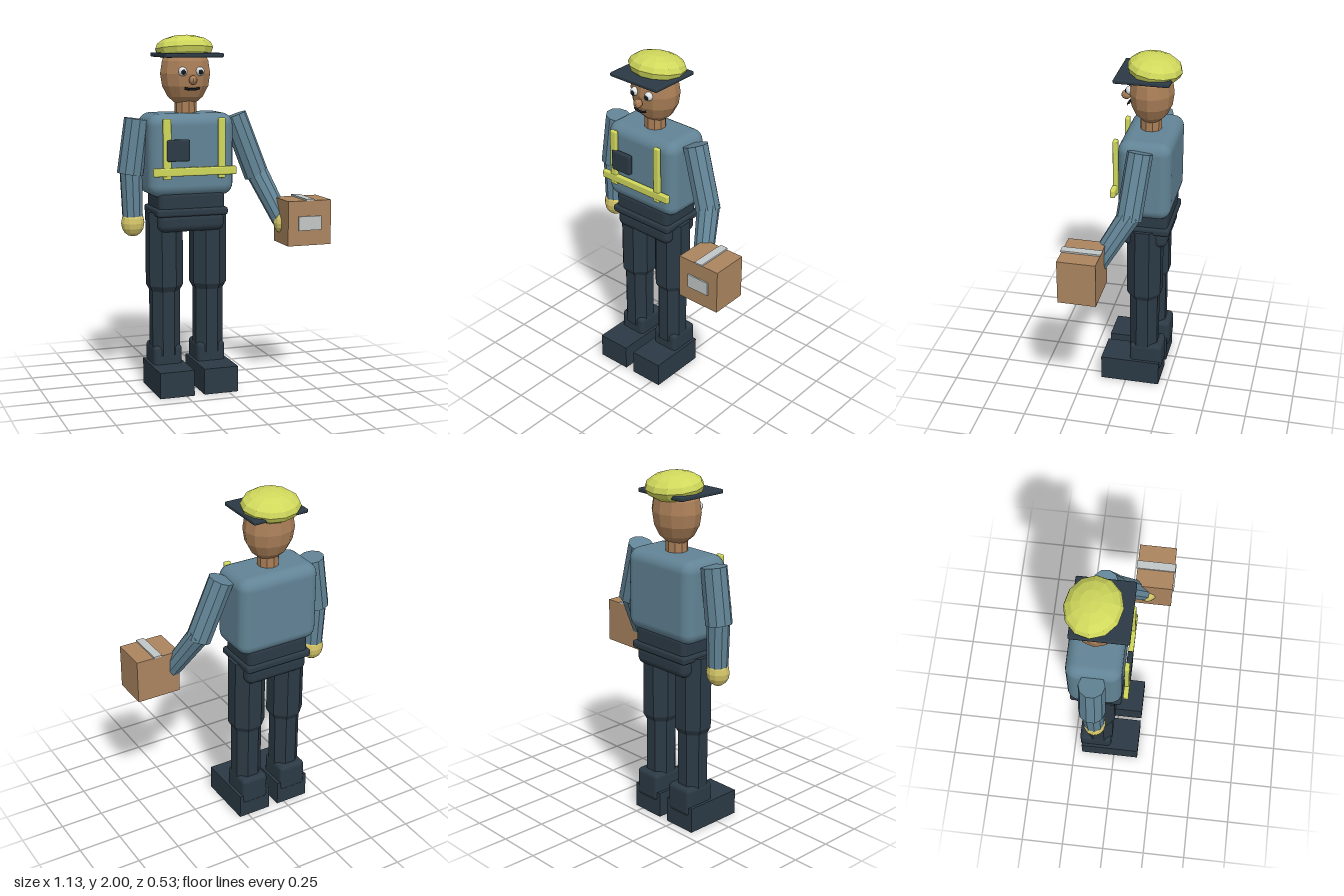
import * as THREE from 'three';
import { RoundedBoxGeometry } from 'three/addons/geometries/RoundedBoxGeometry.js';

const mat = (name, color, flat = false) => {
  const m = new THREE.MeshStandardMaterial({ color, flatShading: flat });
  m.name = name;
  return m;
};

export function createModel() {
  const root = new THREE.Group();
  root.name = 'courier';
  const shirt = mat('shirt blue', 0x628496);
  const dark = mat('dark navy', 0x2c3a45);
  const skin = mat('skin', 0xaa7f58);
  const lime = mat('lime', 0xd0d85c);
  const glove = mat('glove yellow', 0xd4c568);
  const card = mat('cardboard', 0xab855f);
  const tape = mat('tape grey', 0xc2c8c7);
  const white = mat('eye white', 0xe8ecee);
  const black = mat('black', 0x15191e);

  const add = (name, geo, material, x = 0, y = 0, z = 0) => {
    const mesh = new THREE.Mesh(geo, material);
    mesh.name = name;
    mesh.position.set(x, y, z);
    root.add(mesh);
    return mesh;
  };
  // Unshared vertices give crisp facets
  const facet = (geo) => {
    const g = geo.index ? geo.toNonIndexed() : geo;
    g.computeVertexNormals();
    return g;
  };
  // Box from its limits; r > 0 rounds the edges
  const box = (name, material, [x0, x1], [y0, y1], [z0, z1], r = 0) => {
    const s = [x1 - x0, y1 - y0, z1 - z0];
    const geo = r ? new RoundedBoxGeometry(...s, 3, r) : new THREE.BoxGeometry(...s);
    return add(name, geo, material, (x0 + x1) / 2, (y0 + y1) / 2, (z0 + z1) / 2);
  };
  const ball = (name, material, [x, y, z], [rx, ry, rz], w = 12, h = 8, flat = true) => {
    const geo = new THREE.SphereGeometry(1, w, h).scale(rx, ry, rz);
    return add(name, flat ? facet(geo) : geo, material, x, y, z);
  };
  // Faceted limb between two points
  const limb = (name, material, a, b, ra, rb) => {
    const p = new THREE.Vector3(...a), q = new THREE.Vector3(...b);
    const d = q.clone().sub(p);
    const geo = facet(new THREE.CylinderGeometry(rb, ra, d.length(), 10));
    const mesh = add(name, geo, material);
    mesh.position.copy(p).addScaledVector(d, 0.5);
    mesh.quaternion.setFromUnitVectors(new THREE.Vector3(0, 1, 0), d.normalize());
    return mesh;
  };
  // Eight-sided upright prism with flats facing the axes; profile holds [half width, y]
  const octagon = (name, x, z, profile) => {
    const pts = profile.map(([r, y]) => new THREE.Vector2(r / Math.cos(Math.PI / 8), y));
    return add(name, facet(new THREE.LatheGeometry(pts, 8, Math.PI / 8)), dark, x, 0, z);
  };

  const cx = -0.173;

  // Legs and boots
  for (const [side, x] of [['right', -0.304], ['left', -0.045]]) {
    octagon(side + 'Thigh', x, -0.095, [[0, 0.565], [0.08, 0.565], [0.098, 0.6], [0.098, 1.02], [0, 1.02]]);
    octagon(side + 'Shin', x, -0.095, [[0, 0.2], [0.081, 0.2], [0.081, 0.58], [0, 0.58]]);
    box(side + 'BootCuff', dark, [x - 0.083, x + 0.083], [0.09, 0.255], [-0.21, -0.02], 0.025);
    box(side + 'Boot', dark, [x - 0.1, x + 0.1], [0, 0.147], [-0.2, 0.148]);
  }

  // Hips, belt, waist and torso
  box('hips', dark, [cx - 0.193, cx + 0.193], [0.91, 1.02], [-0.228, 0.03], 0.04);
  box('belt', dark, [cx - 0.207, cx + 0.207], [1, 1.045], [-0.243, 0.043], 0.015);
  box('waist', dark, [cx - 0.193, cx + 0.193], [1.02, 1.14], [-0.23, 0.03], 0.03);
  box('torso', shirt, [-0.42, 0.074], [1.11, 1.572], [-0.25, 0.048], 0.065);

  // Reflective straps and chest badge
  box('rightStrap', lime, [-0.355, -0.31], [1.215, 1.55], [0.057, 0.083], 0.008);
  box('leftStrap', lime, [-0.037, 0.004], [1.215, 1.55], [0.057, 0.083], 0.008);
  box('chestBand', lime, [-0.413, 0.068], [1.233, 1.28], [0.057, 0.086], 0.008);
  box('chestBadge', dark, [-0.338, -0.204], [1.315, 1.435], [0.06, 0.09], 0.01);

  // Right arm hanging down
  limb('rightUpperArm', shirt, [-0.455, 1.542, -0.1], [-0.498, 1.235, -0.1], 0.071, 0.073);
  limb('rightForearm', shirt, [-0.493, 1.27, -0.1], [-0.487, 1.0, -0.095], 0.064, 0.058);
  ball('rightGlove', glove, [-0.487, 0.962, -0.092], [0.067, 0.077, 0.062]);

  // Left arm reaching forward
  limb('leftUpperArm', shirt, [0.116, 1.55, -0.095], [0.242, 1.205, -0.06], 0.071, 0.071);
  limb('leftForearm', shirt, [0.237, 1.24, -0.07], [0.333, 0.965, 0.095], 0.064, 0.054);
  ball('leftGlove', glove, [0.34, 0.95, 0.115], [0.06, 0.065, 0.06]);

  // Parcel with tape and label
  box('parcel', card, [0.308, 0.566], [0.838, 1.09], [0.048, 0.26]);
  box('parcelTape', tape, [0.415, 0.463], [1.09, 1.099], [0.043, 0.265]);
  box('parcelLabel', tape, [0.37, 0.506], [0.924, 1.003], [0.26, 0.268]);

  // Head
  limb('neck', skin, [cx, 1.54, -0.097], [cx, 1.66, -0.097], 0.061, 0.061);
  ball('head', skin, [cx, 1.79, -0.1], [0.146, 0.182, 0.125]);
  ball('nose', skin, [cx, 1.756, 0.044], [0.024, 0.026, 0.027], 10, 8);
  for (const s of [-1, 1]) {
    const x = cx + s * 0.05;
    ball('eye', white, [x, 1.803, 0.012], [0.025, 0.025, 0.024], 14, 10, false);
    ball('pupil', black, [x, 1.8, 0.032], [0.013, 0.014, 0.008], 10, 8, false);
  }
  const smile = new THREE.QuadraticBezierCurve3(
    new THREE.Vector3(cx - 0.042, 1.712, 0.022),
    new THREE.Vector3(cx, 1.698, 0.04),
    new THREE.Vector3(cx + 0.042, 1.712, 0.022));
  add('mouth', new THREE.TubeGeometry(smile, 10, 0.007, 6), black);

  // Cap with a square brim plate
  const crown = ball('capCrown', lime, [cx, 1.925, -0.116], [0.168, 0.076, 0.152]);
  crown.rotation.x = -0.13;
  box('capBrim', dark, [-0.34, -0.006], [1.88, 1.904], [-0.225, 0.083], 0.008);

  return root;
}
